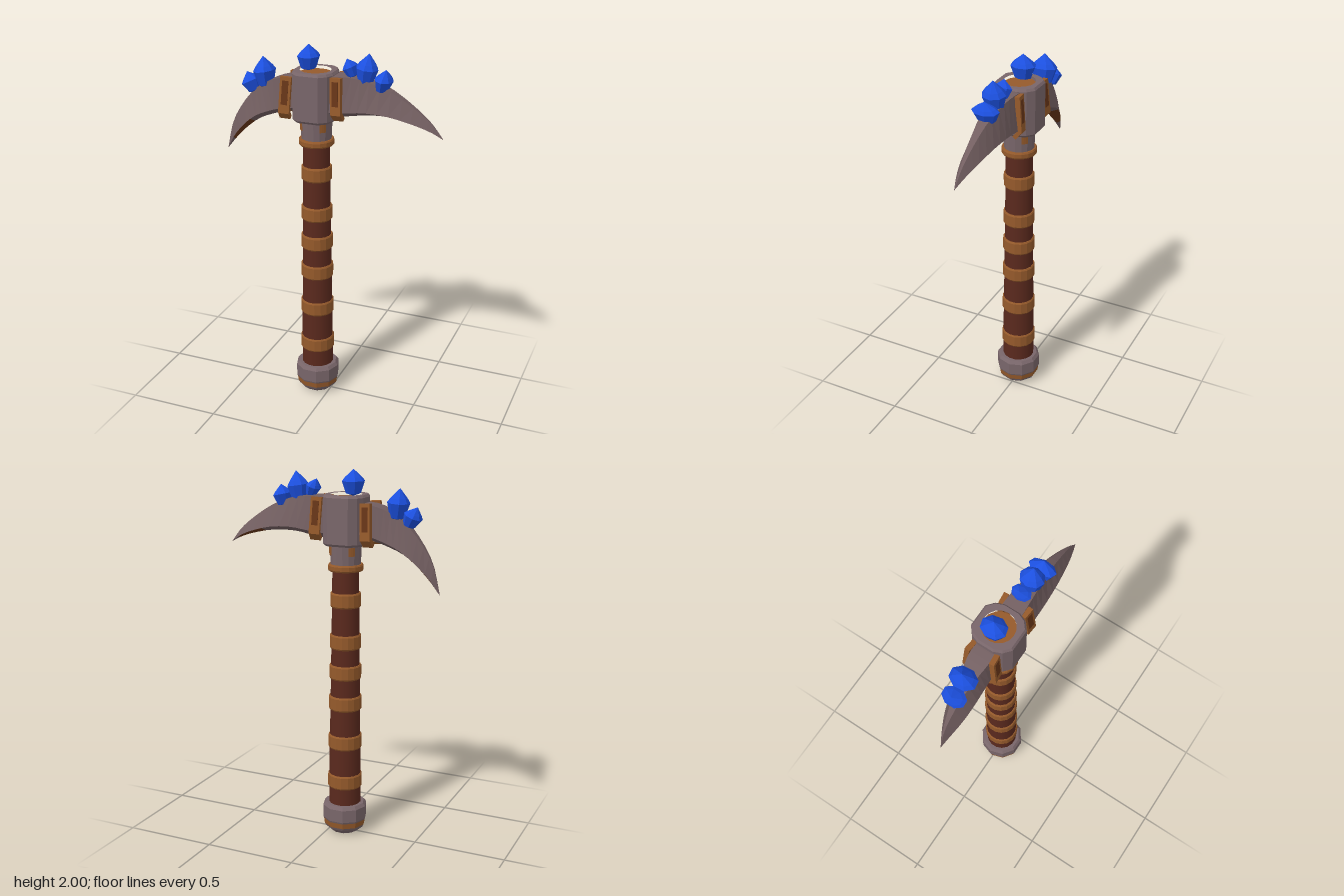
import * as THREE from 'three';

const paint = (name, color, flatShading = true) => {
  const m = new THREE.MeshStandardMaterial({ color, flatShading });
  m.name = name;
  return m;
};

export function createModel() {
  const steel = paint('dull steel', 0x79666a);
  const bladeSteel = paint('blade steel', 0x735f61);
  const bronze = paint('bronze', 0x955a2b);
  const wood = paint('dark wood', 0x5a291d, false);
  const rust = paint('rust', 0x683618);
  const blue = paint('crystal blue', 0x1c50e0);

  const model = new THREE.Group();
  model.name = 'pickaxe';
  const AX = -0.081; // handle axis

  const add = (name, geometry, material, x = 0, y = 0, z = 0, parent = model) => {
    const mesh = new THREE.Mesh(geometry, material);
    mesh.name = name;
    mesh.position.set(x, y, z);
    parent.add(mesh);
    return mesh;
  };
  // Turned part from [radius, y] pairs, bottom to top
  const turned = (name, profile, material, sides = 16) => {
    const g = new THREE.LatheGeometry(profile.map(p => new THREE.Vector2(...p)), sides, Math.PI / sides);
    return add(name, g, material, AX);
  };
  // Ring with chamfered rims
  const ring = (name, y, h, r, material) => turned(name, [
    [r - 0.02, y - h / 2], [r - 0.005, y - h / 2], [r, y - h / 2 + 0.008],
    [r, y + h / 2 - 0.008], [r - 0.005, y + h / 2], [r - 0.02, y + h / 2]], material);

  // Pommel
  turned('pommelBase', [[0, 0.005], [0.075, 0.008], [0.106, 0.035], [0.114, 0.05]], steel, 10);
  turned('pommelStripe', [[0.114, 0.05], [0.118, 0.08]], bronze, 10);
  turned('pommel', [[0.118, 0.08], [0.122, 0.09], [0.122, 0.16], [0.108, 0.177], [0, 0.177]], steel, 10);

  // Shaft with its bands
  turned('shaft', [[0.088, 0.16], [0.086, 0.45], [0.08, 0.8], [0.075, 1.15], [0.071, 1.48]], wood);
  [0.308, 0.535, 0.755, 0.928, 1.095, 1.32].forEach((y, i) =>
    ring('shaftBand', y, 0.078, 0.094 - i * 0.0024, bronze));
  ring('collar', 1.493, 0.036, 0.094, bronze);

  // Socket with worn patches at the four corners
  turned('socket', [[0.08, 1.505], [0.086, 1.64]], steel);
  for (let k = 0; k < 4; k++) {
    const a = Math.PI / 4 + k * Math.PI / 2 - 0.2;
    add('wornPatch', new THREE.CylinderGeometry(0.0885, 0.087, 0.045, 3, 1, true, a, 0.4), bronze, AX, 1.582, 0);
  }

  // Hollow head block with broad faces and rounded corners
  const quarter = [[0.055, 0.106], [0.088, 0.078], [0.104, 0.04]];
  const half = [...quarter, ...quarter.map(([x, y]) => [x, -y]).reverse()];
  const outline = new THREE.Shape([...half, ...half.map(([x, y]) => [-x, -y])].map(p => new THREE.Vector2(...p)));
  outline.holes.push(new THREE.Path().absarc(0, 0, 0.082, 0, Math.PI * 2, true));
  const block = new THREE.ExtrudeGeometry(outline, {
    depth: 0.236, bevelThickness: 0.012, bevelSize: 0.009, bevelSegments: 1, curveSegments: 8,
  });
  block.rotateX(-Math.PI / 2);
  add('headBlock', block, steel, -0.084, 1.624, 0);
  add('headCore', new THREE.CylinderGeometry(0.084, 0.084, 0.222, 16), bronze, -0.084, 1.745, 0);

  // Blade: five-sided sections between a top and a bottom edge, z holding the half width
  const blade = (name, top, bottom, flip) => {
    const curve = pts => new THREE.CatmullRomCurve3(pts.map(p => new THREE.Vector3(...p)));
    const N = 14, upper = curve(top).getPoints(N), lower = curve(bottom).getPoints(N);
    const pos = [], clean = [], rusty = [];
    for (let i = 0; i <= N; i++) {
      const t = upper[i], b = lower[i], m = b.clone().lerp(t, 0.17);
      pos.push(t.x, t.y, t.z, m.x, m.y, b.z, b.x, b.y, 0, m.x, m.y, -b.z, t.x, t.y, -t.z);
      for (let k = 0; k < 5 && i < N; k++) {
        const a = i * 5 + k, c = i * 5 + (k + 1) % 5;
        // the cutting bevel is rusted towards the tip
        const list = (k === 1 || k === 2) && i > 7 && i < 12 ? rusty : clean;
        list.push(...(flip ? [a, a + 5, c, c, a + 5, c + 5] : [a, c, a + 5, c, c + 5, a + 5]));
      }
    }
    const g = new THREE.BufferGeometry();
    g.setAttribute('position', new THREE.Float32BufferAttribute(pos, 3));
    g.setIndex([...clean, ...rusty]);
    g.addGroup(0, clean.length, 0);
    g.addGroup(clean.length, rusty.length, 1);
    g.computeVertexNormals();
    add(name, g, [bladeSteel, rust]);
  };
  blade('leftBlade',
    [[0.005, 1.855, 0.055], [0.1, 1.86, 0.05], [0.2, 1.847, 0.04], [0.33, 1.8, 0.025], [0.46, 1.72, 0.012], [0.54, 1.655, 0.005], [0.602, 1.58, 0]],
    [[0.005, 1.635, 0.072], [0.1, 1.645, 0.076], [0.2, 1.663, 0.077], [0.33, 1.663, 0.067], [0.46, 1.638, 0.044], [0.54, 1.612, 0.022], [0.602, 1.58, 0]], false);
  blade('rightBlade',
    [[-0.17, 1.835, 0.055], [-0.25, 1.825, 0.052], [-0.33, 1.797, 0.04], [-0.41, 1.747, 0.026], [-0.49, 1.66, 0.014], [-0.56, 1.545, 0.005], [-0.602, 1.385, 0]],
    [[-0.17, 1.645, 0.07], [-0.245, 1.635, 0.068], [-0.32, 1.613, 0.067], [-0.4, 1.58, 0.064], [-0.475, 1.525, 0.05], [-0.545, 1.455, 0.025], [-0.602, 1.385, 0]], true);

  // Clamps on both faces of each blade, folded in at the foot
  for (const [x, y, tilt] of [[-0.223, 1.735, -0.05], [0.057, 1.755, 0.04]]) {
    for (const s of [1, -1]) {
      const clamp = new THREE.Group();
      clamp.name = 'bladeClamp';
      clamp.position.set(x, y, s * 0.073);
      clamp.rotation.set(-s * 0.08, Math.sign(x) * -s * 0.1, tilt);
      model.add(clamp);
      add('clampPlate', new THREE.BoxGeometry(0.058, 0.19, 0.026), bronze, 0, 0.007, 0, clamp);
      add('clampInset', new THREE.BoxGeometry(0.034, 0.125, 0.008), rust, 0, 0.02, s * 0.0105, clamp);
      const foot = add('clampFoot', new THREE.BoxGeometry(0.058, 0.05, 0.022), bronze, 0, -0.095, -s * 0.013, clamp);
      foot.rotation.x = s * 0.75;
    }
  }

  // Crystals: x, y, half width, height, half depth, lean
  const gem = [[0, -0.5], [0.66, -0.4], [1, 0.06], [0.74, 0.2], [0, 0.5]].map(p => new THREE.Vector2(...p));
  [
    [-0.448, 1.772, 0.049, 0.115, 0.066, 0.45], [-0.37, 1.832, 0.056, 0.165, 0.074, 0.1],
    [-0.122, 1.932, 0.058, 0.136, 0.068, 0], [0.105, 1.897, 0.038, 0.1, 0.053, 0.4],
    [0.193, 1.895, 0.058, 0.172, 0.064, -0.15], [0.283, 1.848, 0.046, 0.118, 0.074, -0.2],
  ].forEach(([x, y, w, h, d, lean], i) => {
    const c = add('crystal', new THREE.LatheGeometry(gem, 8, Math.PI / 8 + i * 0.9), blue, x, y, 0);
    c.scale.set(w, h, d);
    c.rotation.z = lean;
  });

  return model;
}
